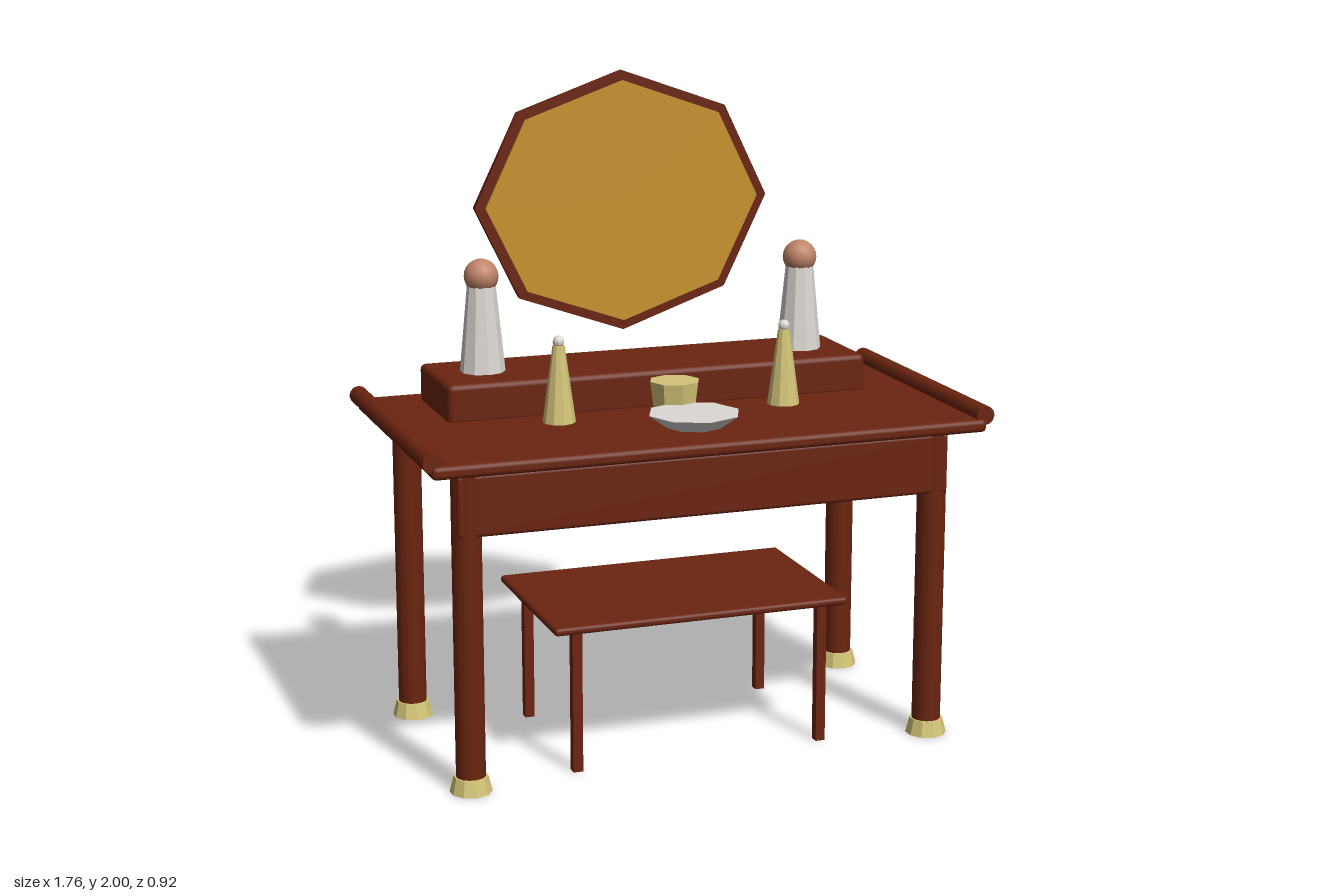
import * as THREE from 'three';
import { RoundedBoxGeometry } from 'three/addons/geometries/RoundedBoxGeometry.js';

const mat = (name, color, flatShading = false) => {
  const m = new THREE.MeshStandardMaterial({ color, flatShading });
  m.name = name;
  return m;
};

export function createModel() {
  const wood = mat('redWood', 0x6b2410);
  const mirrorGold = mat('mirrorGold', 0xc8922e);
  const brass = mat('paleBrass', 0xd4c478, true);
  const ivory = mat('ivory', 0xdcd8d3, true);
  const skin = mat('headTan', 0xc08468);

  const model = new THREE.Group();
  model.name = 'dressingTable';

  const add = (name, geometry, material, x, y, z) => {
    const mesh = new THREE.Mesh(geometry, material);
    mesh.name = name;
    mesh.position.set(x, y, z);
    model.add(mesh);
    return mesh;
  };
  // Rounded board given by its extents
  const board = (name, x, y0, y1, z0, z1, r) =>
    add(name, new RoundedBoxGeometry(2 * x, y1 - y0, z1 - z0, 2, r), wood, 0, (y0 + y1) / 2, (z0 + z1) / 2);
  // Upright tapered cylinder given by its bottom and top
  const cone = (name, material, x, z, y0, y1, r0, r1, sides) =>
    add(name, new THREE.CylinderGeometry(r1, r0, y1 - y0, sides), material, x, (y0 + y1) / 2, z);

  // Table
  board('tableTop', 0.855, 0.972, 1.012, -0.462, 0.462, 0.015);
  board('apron', 0.765, 0.775, 0.96, 0.315, 0.385, 0.012);
  board('rearShelf', 0.675, 1.0, 1.125, -0.382, -0.037, 0.018);

  for (const s of [-1, 1]) {
    // Rolled ends of the table top
    const roll = add('endRoll', new THREE.CylinderGeometry(0.029, 0.029, 0.904, 12), wood, s * 0.852, 1.022, 0);
    roll.rotation.x = Math.PI / 2;

    // Legs with brass feet
    for (const t of [-1, 1]) {
      cone('tableLeg', wood, s * 0.73, t * 0.345, 0.005, 0.98, 0.044, 0.044, 16);
      cone('tableFoot', brass, s * 0.73, t * 0.345, 0, 0.048, 0.063, 0.051, 10);
    }

    // Figures on the shelf
    cone('figureBody', ivory, s * 0.52, -0.21, 1.12, 1.395, 0.07, 0.043, 10);
    add('figureHead', new THREE.SphereGeometry(0.053, 16, 12), skin, s * 0.52, 1.417, -0.21);

    // Scent bottles
    cone('bottle', brass, s * 0.36, 0.055, 1.01, 1.245, 0.05, 0.018, 10);
    add('bottleStopper', new THREE.SphereGeometry(0.018, 10, 8), ivory, s * 0.36, 1.256, 0.055);
  }

  // Powder pot and dish
  cone('powderPot', brass, 0, 0.07, 1.01, 1.115, 0.064, 0.078, 8);
  cone('dish', ivory, 0, 0.24, 1.012, 1.053, 0.085, 0.141, 8);

  // Octagonal mirror, slightly wider than high
  const disc = (name, material, rx, ry, depth, z) => {
    const mesh = add(name, new THREE.CylinderGeometry(1, 1, 1, 8).rotateX(Math.PI / 2), material, 0, 1.59, z);
    mesh.scale.set(rx, ry, depth);
  };
  disc('mirrorFrame', wood, 0.482, 0.41, 0.022, -0.42);
  disc('mirrorGlass', mirrorGold, 0.449, 0.379, 0.009, -0.4045);

  // Stool
  board('stoolSeat', 0.465, 0.436, 0.46, -0.245, 0.335, 0.01);
  for (const x of [-0.39, 0.39]) for (const z of [-0.205, 0.295]) {
    add('stoolLeg', new THREE.BoxGeometry(0.03, 0.44, 0.03), wood, x, 0.22, z);
  }
  return model;
}
